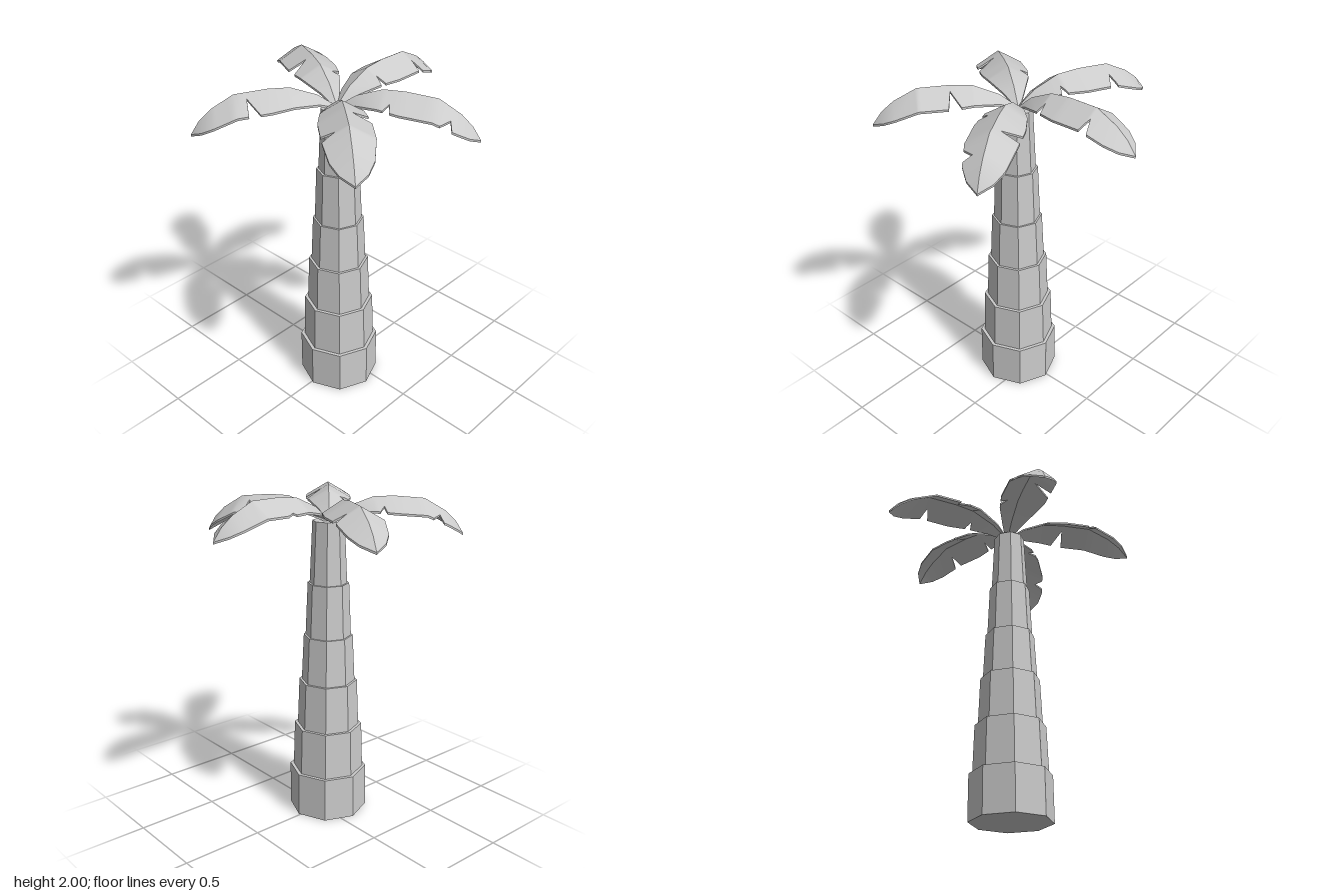
import * as THREE from 'three';
import { toCreasedNormals } from 'three/addons/utils/BufferGeometryUtils.js';

// Leaf profile: distance from root, rib height, half width
const PROFILE = [
  [0, 0, 0.01], [0.1, 0.085, 0.06], [0.24, 0.15, 0.115], [0.36, 0.163, 0.137],
  [0.54, 0.162, 0.135], [0.67, 0.1, 0.11], [0.74, 0.045, 0.07], [0.795, -0.025, 0],
];
const THICKNESS = 0.012;
const SAG = 0.58;

function sample(points, s, column) {
  for (let i = 1; i < points.length; i++) {
    const a = points[i - 1], b = points[i];
    if (s <= b[0]) return a[column] + ((b[column] - a[column]) * (s - a[0])) / (b[0] - a[0]);
  }
  return points[points.length - 1][column];
}

// Half width on one side; notches are [side, start, apex, end, apexWidth]
function halfWidth(side, s, notches) {
  for (const [n, start, apex, end, depth] of notches) {
    if (n !== side || s <= start || s >= end) continue;
    const outline = [[start, sample(PROFILE, start, 2)], [apex, depth], [end, sample(PROFILE, end, 2)]];
    return sample(outline, s, 1);
  }
  return sample(PROFILE, s, 2);
}

// Roof-shaped curved blade with torn edges
function leafGeometry(notches) {
  const stations = [...new Set([...PROFILE.map((p) => p[0]), ...notches.flatMap((n) => n.slice(1, 4))])]
    .sort((a, b) => a - b);
  const pos = [];
  const quad = (a, b, c, d, flip) => {
    const q = flip ? [a, c, b, a, d, c] : [a, b, c, a, c, d];
    q.forEach((p) => pos.push(...p));
  };
  const down = ([x, y, z]) => [x, y - THICKNESS, z];
  for (const side of [1, -1]) {
    const rows = stations.map((s) => {
      const w = halfWidth(side, s, notches), y = sample(PROFILE, s, 1);
      return { rib: [s, y, 0], edge: [s, y - SAG * w, side * w] };
    });
    for (let i = 1; i < rows.length; i++) {
      const a = rows[i - 1], b = rows[i], flip = side < 0;
      quad(a.rib, a.edge, b.edge, b.rib, flip);
      quad(down(a.rib), down(a.edge), down(b.edge), down(b.rib), !flip);
      quad(a.edge, down(a.edge), down(b.edge), b.edge, flip);
    }
  }
  const geometry = new THREE.BufferGeometry();
  geometry.setAttribute('position', new THREE.Float32BufferAttribute(pos, 3));
  return toCreasedNormals(geometry, 0.5);
}

export function createModel() {
  const group = new THREE.Group();
  const trunkMaterial = new THREE.MeshStandardMaterial({ color: 0xcccccc, flatShading: true });
  const leafMaterial = new THREE.MeshStandardMaterial({ color: 0xcccccc, side: THREE.DoubleSide });

  // Trunk of stacked octagonal segments: bottom, top, lower radius, upper radius
  const trunk = new THREE.Group();
  trunk.name = 'trunk';
  trunk.position.set(-0.075, 0, 0.012);
  [
    [0, 0.275, 0.241, 0.239], [0.275, 0.565, 0.218, 0.208], [0.565, 0.857, 0.189, 0.177],
    [0.857, 1.145, 0.162, 0.148], [1.145, 1.467, 0.137, 0.123], [1.467, 1.835, 0.111, 0.094],
  ].forEach(([y0, y1, r0, r1], i) => {
    const mesh = new THREE.Mesh(new THREE.CylinderGeometry(r1, r0, y1 - y0, 8), trunkMaterial);
    mesh.name = `trunkSegment${i + 1}`;
    mesh.position.y = (y0 + y1) / 2;
    trunk.add(mesh);
  });
  group.add(trunk);

  // Crown of five leaves: heading in degrees, droop, notches
  const tornA = [[1, 0.235, 0.25, 0.265, 0.06], [1, 0.53, 0.548, 0.575, 0.06], [-1, 0.345, 0.36, 0.4, 0.12]];
  const tornB = [[1, 0.215, 0.226, 0.25, 0.064], [1, 0.5, 0.525, 0.55, 0.066], [-1, 0.312, 0.364, 0.382, 0.037]];
  const tornC = [[1, 0.27, 0.297, 0.31, 0.08], [1, 0.578, 0.625, 0.645, 0.067], [-1, 0.42, 0.475, 0.482, 0.037]];
  const crown = new THREE.Group();
  crown.name = 'crown';
  crown.position.set(-0.07, 1.84, 0);
  [
    [0, 0, tornA], [66, 0, tornB], [145, 0.085, tornC], [230, 0.035, tornB], [298, 0.1, tornC],
  ].forEach(([heading, droop, notches], i) => {
    const leaf = new THREE.Mesh(leafGeometry(notches), leafMaterial);
    leaf.name = `leaf${i + 1}`;
    leaf.rotation.set(0, THREE.MathUtils.degToRad(heading), -droop, 'YZX');
    crown.add(leaf);
  });
  group.add(crown);
  return group;
}
